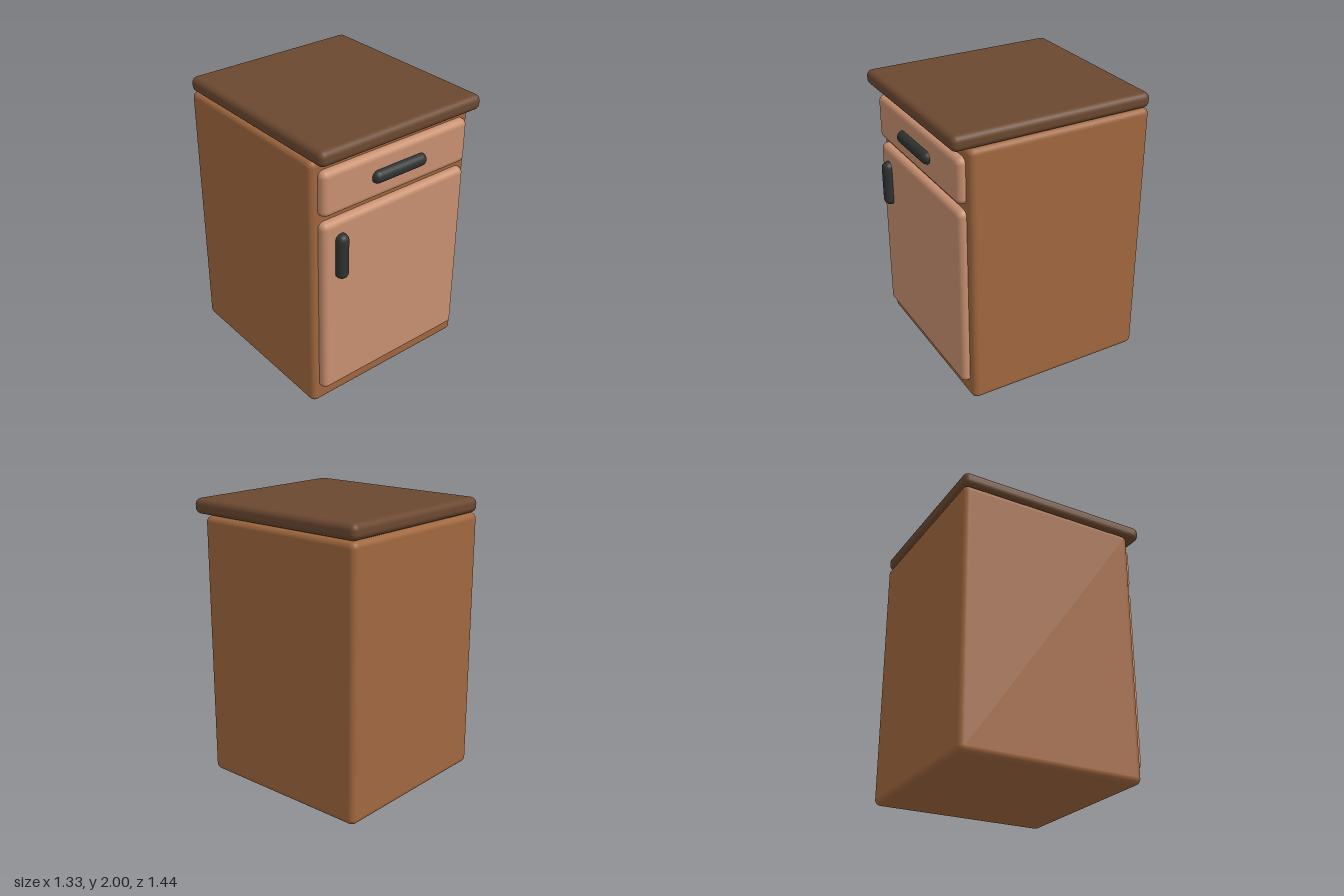
import * as THREE from 'three';
import { RoundedBoxGeometry } from 'three/addons/geometries/RoundedBoxGeometry.js';

const material = (color) => new THREE.MeshStandardMaterial({ color });

// Rounded block given by its [min, max] range on each axis
function block(name, [x0, x1], [y0, y1], [z0, z1], radius, mat) {
  const geometry = new RoundedBoxGeometry(x1 - x0, y1 - y0, z1 - z0, 6, radius);
  const mesh = new THREE.Mesh(geometry, mat);
  mesh.name = name;
  mesh.position.set((x0 + x1) / 2, (y0 + y1) / 2, (z0 + z1) / 2);
  return mesh;
}

export function createModel() {
  const group = new THREE.Group();
  group.name = 'cabinet';

  const bodyWood = material(0xa0673f);
  const topWood = material(0x6b4830);
  const panelWood = material(0xc89070);
  const dark = material(0x303232);

  group.add(
    // carcass and overhanging worktop
    block('body', [-0.665, 0.665], [0, 1.892], [-0.722, 0.612], 0.044, bodyWood),
    block('worktop', [-0.665, 0.665], [1.892, 2], [-0.722, 0.722], 0.044, topWood),

    // front panels, half sunk into the body
    block('drawerFront', [-0.61, 0.61], [1.503, 1.823], [0.556, 0.667], 0.044, panelWood),
    block('door', [-0.61, 0.61], [0.125, 1.46], [0.556, 0.667], 0.044, panelWood),

    // pill-shaped pulls
    block('drawerHandle', [-0.223, 0.223], [1.619, 1.709], [0.622, 0.712], 0.0445, dark),
    block('doorHandle', [-0.515, -0.425], [1.027, 1.36], [0.612, 0.722], 0.044, dark)
  );

  return group;
}
